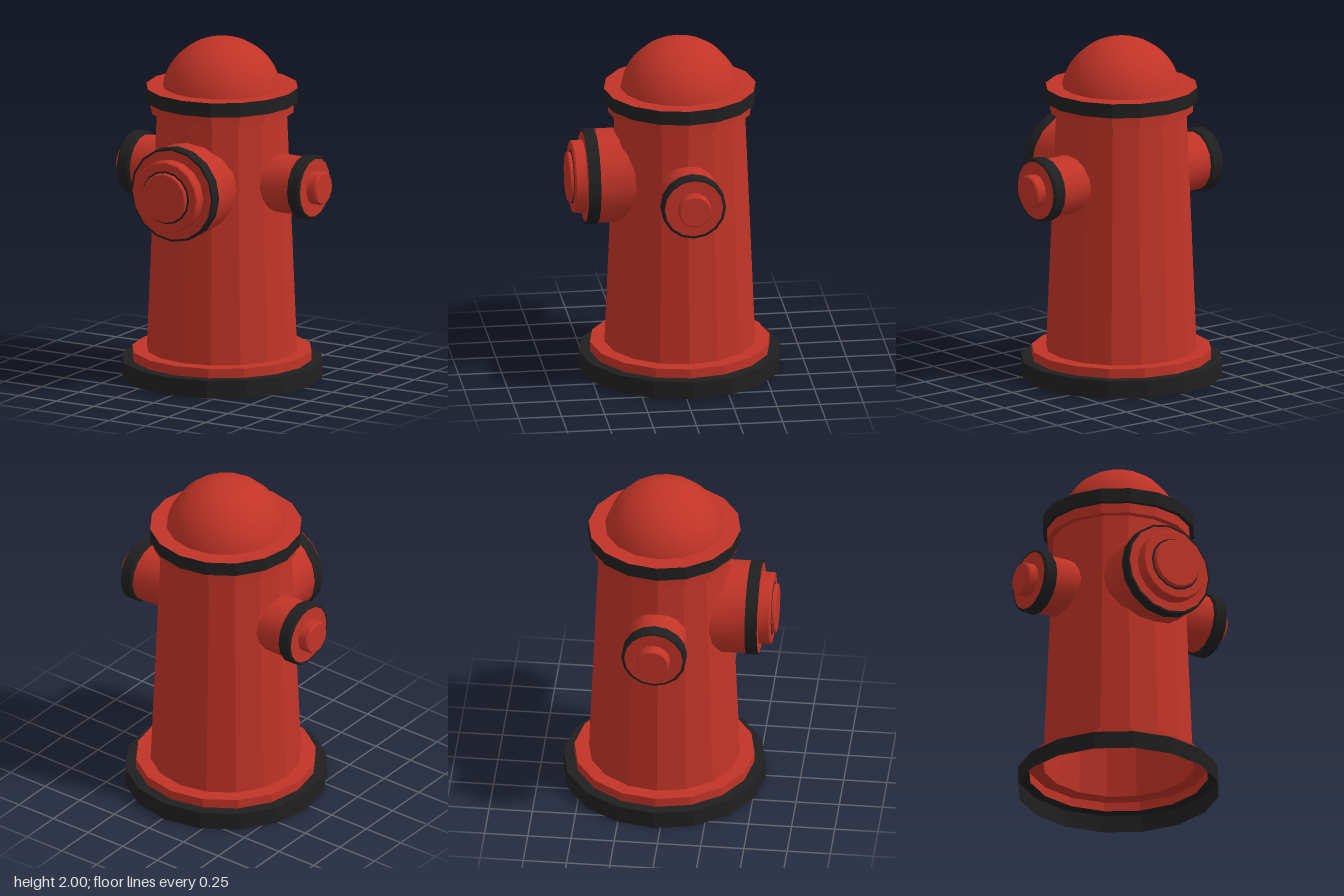
import * as THREE from 'three';
import { toCreasedNormals } from 'three/addons/utils/BufferGeometryUtils.js';

const SIDES = 16;
const red = new THREE.MeshStandardMaterial({ color: 0xc23427, side: THREE.DoubleSide });
const black = new THREE.MeshStandardMaterial({ color: 0x202020, side: THREE.DoubleSide });

// Sixteen-sided turned shell from [radius, height] pairs; a small crease keeps facets flat
function turned(name, profile, material, crease) {
  const points = profile.map(([r, y]) => new THREE.Vector2(r, y));
  const geometry = toCreasedNormals(new THREE.LatheGeometry(points, SIDES), crease);
  const mesh = new THREE.Mesh(geometry, material);
  mesh.name = name;
  return mesh;
}
const FLAT = 0.2, SMOOTH = 0.6;

// Side outlet, built pointing up +y
function sideOutlet(name) {
  const outlet = new THREE.Group();
  outlet.name = name;
  outlet.add(
    turned('outletPipe', [[0.17, 0.32], [0.17, 0.61], [0, 0.61]], red, SMOOTH),
    turned('outletBand', [
      [0.17, 0.53], [0.178, 0.53], [0.187, 0.54], [0.187, 0.602], [0.178, 0.612], [0.17, 0.612],
    ], black, SMOOTH),
    turned('outletNut', [[0.096, 0.61], [0.096, 0.662], [0.088, 0.672], [0, 0.672]], red, SMOOTH),
  );
  return outlet;
}

// Large front outlet, built pointing up +y
function frontOutlet() {
  const outlet = new THREE.Group();
  outlet.name = 'frontOutlet';
  outlet.add(
    turned('frontPipe', [[0.272, 0.24], [0.272, 0.49]], red, SMOOTH),
    turned('frontBand', [[0.272, 0.49], [0.276, 0.49], [0.276, 0.56], [0.264, 0.56]], black, SMOOTH),
    turned('frontPlate', [[0.264, 0.56], [0, 0.56]], red, SMOOTH),
    turned('frontCap', [[0.211, 0.56], [0.211, 0.622], [0.204, 0.63], [0.157, 0.63]], red, SMOOTH),
    turned('frontCapRing', [[0.157, 0.63], [0.144, 0.632]], black, SMOOTH),
    turned('frontNut', [[0.146, 0.63], [0.146, 0.648], [0.139, 0.655], [0, 0.655]], red, SMOOTH),
  );
  return outlet;
}

export function createModel() {
  const hydrant = new THREE.Group();
  hydrant.name = 'hydrant';

  // Hollow stepped barrel, open underneath
  const barrel = new THREE.Group();
  barrel.name = 'barrel';
  barrel.position.set(-0.012, 0, -0.035);
  barrel.add(
    turned('baseRing', [[0.584, 0], [0.584, 0.105], [0.521, 0.105]], black, FLAT),
    turned('baseFlange', [[0.521, 0.105], [0.521, 0.16], [0.437, 0.16]], red, FLAT),
    turned('body', [[0.437, 0.16], [0.378, 1.57]], red, FLAT),
    turned('collar', [[0.378, 1.57], [0.416, 1.57], [0.416, 1.63]], red, FLAT),
    turned('topBand', [[0.416, 1.63], [0.44, 1.63], [0.44, 1.714]], black, FLAT),
    turned('topPlate', [[0.44, 1.714], [0.34, 1.714]], red, FLAT),
  );

  // Smooth domed bonnet
  const dome = new THREE.Mesh(
    new THREE.SphereGeometry(0.35, SIDES, 14, 0, Math.PI * 2, 0, 1.387), red);
  dome.name = 'dome';
  dome.position.y = 1.65;
  barrel.add(dome);
  hydrant.add(barrel);

  // Outlets
  for (const side of [-1, 1]) {
    const outlet = sideOutlet(side > 0 ? 'leftOutlet' : 'rightOutlet');
    outlet.rotation.z = -side * Math.PI / 2;
    outlet.position.set(0, 1.187, -0.037);
    hydrant.add(outlet);
  }
  const front = frontOutlet();
  front.rotation.x = Math.PI / 2;
  front.position.set(-0.012, 1.181, -0.035);
  hydrant.add(front);

  return hydrant;
}
